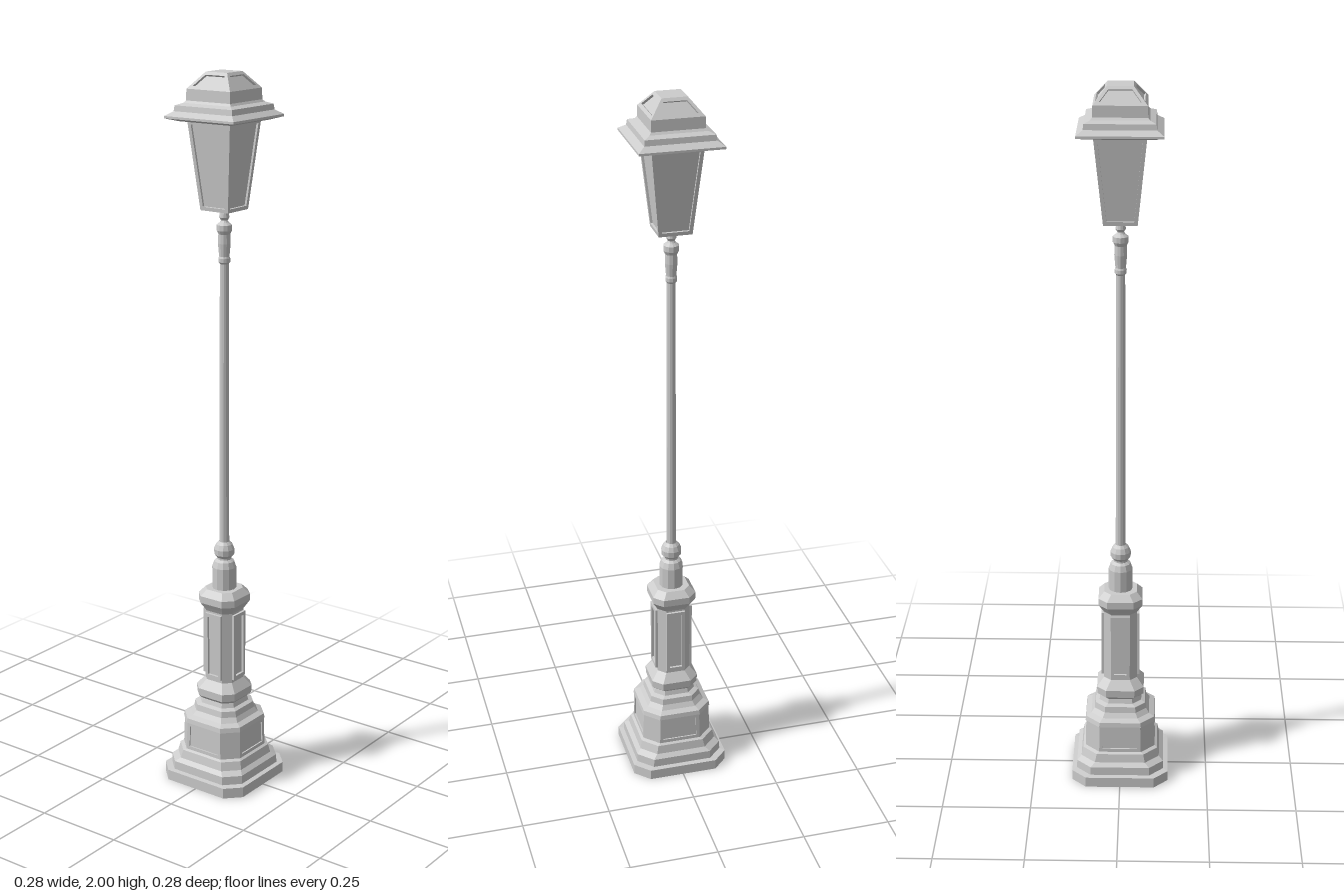
import * as THREE from 'three';

const material = new THREE.MeshStandardMaterial({ color: 0xcccccc, flatShading: true, side: THREE.DoubleSide });
const V = (x, y, z) => new THREE.Vector3(x, y, z);
const turn = (p, k) => { // quarter turns about the vertical axis
  for (let i = 0; i < k; i++) p = V(p.z, p.y, -p.x);
  return p;
};

// Collects quads into a hard-edged geometry
class Quads {
  constructor() { this.points = []; }
  add(a, b, c, d) {
    if (a.distanceTo(b) + c.distanceTo(d) < 1e-6) return;
    for (const p of [a, b, c, a, c, d]) this.points.push(p.x, p.y, p.z);
  }
  geometry() {
    const g = new THREE.BufferGeometry();
    g.setAttribute('position', new THREE.Float32BufferAttribute(this.points, 3));
    g.computeVertexNormals();
    return g;
  }
}

// Square ring with cut corners: height, half width, corner cut
function ring([y, half, cut]) {
  const pts = [];
  for (let k = 0; k < 4; k++) pts.push(turn(V(cut - half, y, half), k), turn(V(half - cut, y, half), k));
  return pts;
}

function cap(q, section, up) {
  const r = ring(section);
  for (let i = 0; i < 8; i++) {
    const a = r[i], b = r[(i + 1) % 8], c = V(0, section[0], 0);
    if (a.distanceTo(b) < 1e-6) continue;
    if (up) q.add(a, b, c, c); else q.add(b, a, c, c);
  }
}

// Closed stack of rings
function stack(sections) {
  const q = new Quads();
  for (let s = 0; s + 1 < sections.length; s++) {
    const lo = ring(sections[s]), hi = ring(sections[s + 1]);
    for (let i = 0; i < 8; i++) q.add(lo[i], lo[(i + 1) % 8], hi[(i + 1) % 8], hi[i]);
  }
  cap(q, sections[0], false);
  cap(q, sections[sections.length - 1], true);
  return q.geometry();
}

// Tapered block whose four faces each hold a sunken panel inside a border
function panelled(lo, hi, border, depth) {
  const q = new Quads();
  const height = hi[0] - lo[0], lean = hi[1] - lo[1];
  const slant = Math.hypot(height, lean);
  const inward = V(0, lean / slant, -height / slant).multiplyScalar(depth);
  const mix = THREE.MathUtils.lerp;
  const rectangle = inset => [[-1, 0], [1, 0], [1, 1], [-1, 1]].map(([side, top]) => {
    const t = top ? 1 - inset / slant : inset / slant;
    const flat = mix(lo[1] - lo[2], hi[1] - hi[2], t) - inset;
    return V(side * flat, mix(lo[0], hi[0], t), mix(lo[1], hi[1], t));
  });
  const outer = rectangle(0), inner = rectangle(border);
  const sunk = inner.map(p => p.clone().add(inward));
  const a = ring(lo), b = ring(hi);
  for (let k = 0; k < 4; k++) {
    const [o, n, s] = [outer, inner, sunk].map(l => l.map(p => turn(p, k)));
    for (let i = 0; i < 4; i++) {
      const j = (i + 1) % 4;
      q.add(o[i], o[j], n[j], n[i]);
      q.add(n[i], n[j], s[j], s[i]);
    }
    q.add(...s);
    const i = 2 * k + 1, j = (i + 1) % 8;
    q.add(a[i], a[j], b[j], b[i]);
  }
  cap(q, lo, false);
  cap(q, hi, true);
  return q.geometry();
}

function turned(profile) {
  return new THREE.LatheGeometry(profile.map(([r, y]) => new THREE.Vector2(r, y)), 12);
}

export function createModel() {
  const model = new THREE.Group();
  const add = (name, geometry, parent = model) => {
    const mesh = new THREE.Mesh(geometry, material);
    mesh.name = name;
    parent.add(mesh);
    return mesh;
  };

  // Stepped plinth and panelled pedestal
  add('plinth', stack([
    [0, 0.138, 0.04], [0.03, 0.138, 0.04], [0.032, 0.125, 0.04], [0.056, 0.124, 0.04],
    [0.066, 0.112, 0.04], [0.09, 0.107, 0.04], [0.094, 0.1, 0.04],
  ]));
  add('pedestal', panelled([0.094, 0.1, 0.04], [0.175, 0.098, 0.04], 0.01, 0.004));
  add('pedestalMoulding', stack([
    [0.175, 0.1, 0.04], [0.188, 0.098, 0.04], [0.195, 0.083, 0.033], [0.208, 0.074, 0.03],
    [0.225, 0.071, 0.028], [0.23, 0.06, 0.025], [0.243, 0.056, 0.023], [0.253, 0.066, 0.026],
    [0.275, 0.067, 0.026], [0.295, 0.051, 0.021], [0.3, 0.047, 0.02],
  ]));

  // Column with a raised frame on each side
  add('column', stack([[0.295, 0.047, 0.02], [0.52, 0.047, 0.02]]));
  const frameShape = new THREE.Shape([[-0.027, 0.31], [0.027, 0.31], [0.027, 0.505], [-0.027, 0.505]]
    .map(p => new THREE.Vector2(...p)));
  frameShape.holes.push(new THREE.Path([[-0.018, 0.32], [-0.018, 0.495], [0.018, 0.495], [0.018, 0.32]]
    .map(p => new THREE.Vector2(...p))));
  const frame = new THREE.ExtrudeGeometry(frameShape, { depth: 0.008, bevelEnabled: false }).translate(0, 0, 0.046);
  for (let k = 0; k < 4; k++) add('columnFrame', frame).rotation.y = k * Math.PI / 2;
  add('capital', stack([
    [0.51, 0.047, 0.02], [0.522, 0.054, 0.022], [0.535, 0.062, 0.025], [0.555, 0.062, 0.025],
    [0.573, 0.046, 0.02],
  ]));

  // Turned neck, slender pole and collars
  add('neck', turned([
    [0.034, 0.57], [0.034, 0.635], [0.028, 0.652], [0.02, 0.658], [0.02, 0.663], [0.028, 0.672],
    [0.029, 0.688], [0.023, 0.702], [0.015, 0.71],
  ]));
  add('pole', turned([[0.014, 0.7], [0.012, 1.5]]));
  add('poleCollar', turned([
    [0.012, 1.495], [0.016, 1.5], [0.016, 1.51], [0.014, 1.515], [0.017, 1.55], [0.016, 1.575],
    [0.021, 1.585], [0.021, 1.6], [0.012, 1.607], [0.009, 1.612], [0.014, 1.62], [0.012, 1.632],
    [0.009, 1.645],
  ]));

  // Tapered lantern with sunken panes
  const lantern = new THREE.Group();
  lantern.name = 'lantern';
  model.add(lantern);
  add('lanternBody', panelled([1.64, 0.045, 0], [1.876, 0.069, 0], 0.01, 0.006), lantern);

  // Stepped square roof and panelled crown
  add('roof', stack([
    [1.874, 0.085, 0], [1.882, 0.112, 0], [1.888, 0.112, 0], [1.9, 0.094, 0],
    [1.915, 0.092, 0], [1.921, 0.076, 0], [1.927, 0.071, 0], [1.957, 0.07, 0],
  ]), lantern);
  add('crown', panelled([1.957, 0.07, 0], [2, 0.034, 0], 0.01, 0.006), lantern);
  return model;
}
